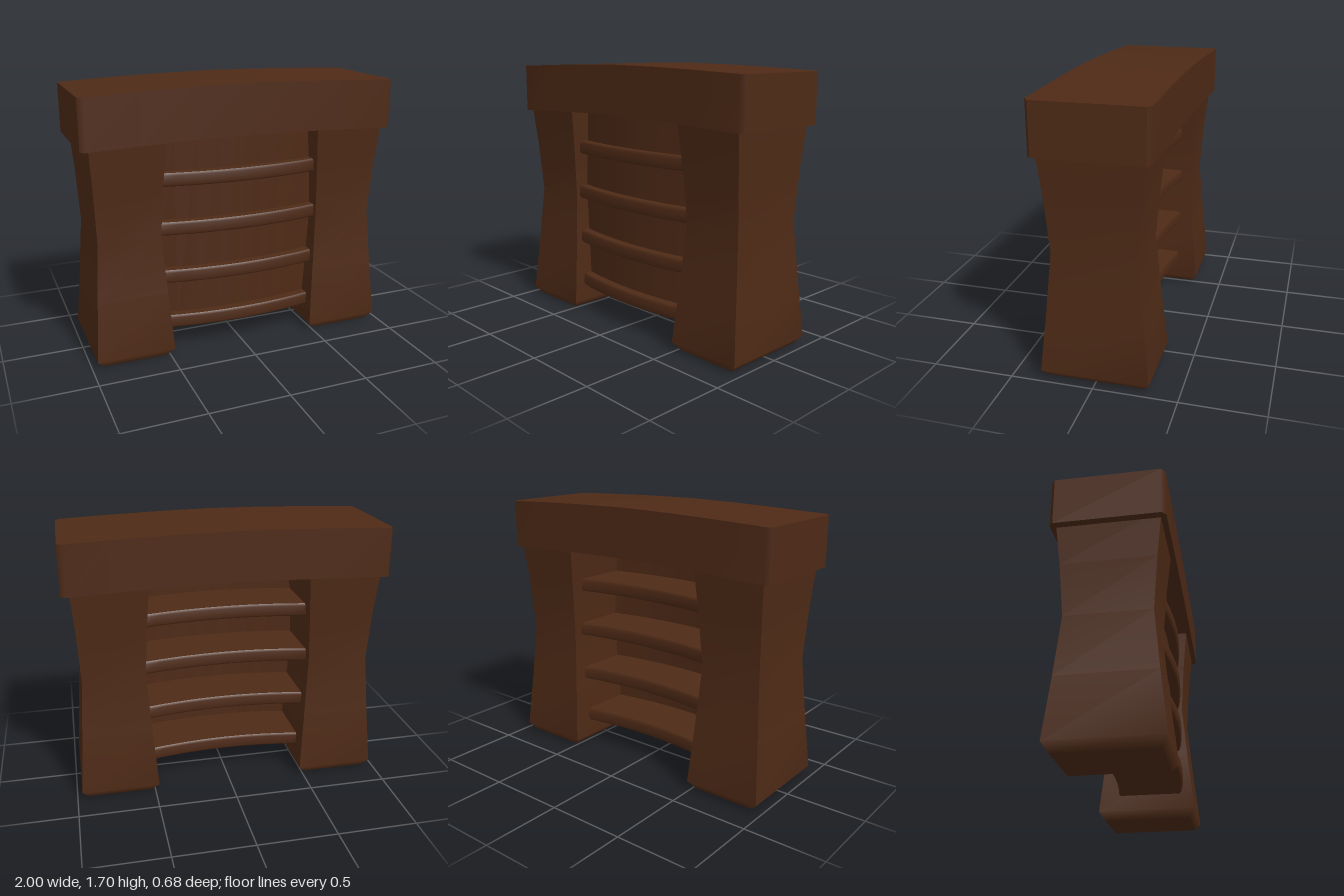
import * as THREE from 'three';

const wood = new THREE.MeshStandardMaterial({ color: 0x4e2a16, roughness: 0.9 });

// Move every vertex of a geometry by a rule, then refresh the normals
function deform(geometry, rule) {
  const pos = geometry.attributes.position;
  const v = new THREE.Vector3();
  for (let i = 0; i < pos.count; i++) {
    v.fromBufferAttribute(pos, i);
    rule(v);
    pos.setXYZ(i, v.x, v.y, v.z);
  }
  geometry.computeVertexNormals();
  return geometry;
}

function addPart(group, name, geometry) {
  const mesh = new THREE.Mesh(geometry, wood);
  mesh.name = name;
  group.add(mesh);
  return mesh;
}

// Waisted post: [height, half width, half depth] from the floor up
const LEG = [
  [0, 0.2, 0.29], [0.05, 0.247, 0.325], [0.42, 0.22, 0.287],
  [0.79, 0.195, 0.255], [1.12, 0.21, 0.28], [1.42, 0.232, 0.312],
];
function legGeometry() {
  const n = LEG.length - 1;
  return deform(new THREE.BoxGeometry(2, n, 2, 1, n, 1), (v) => {
    const [y, w, d] = LEG[Math.round(v.y + n / 2)];
    v.set(v.x * w, y, v.z * d);
  });
}

// Gently arched top whose upright corners are cut off
function topGeometry() {
  const columns = [-1, -0.97, -0.65, -0.33, 0, 0.33, 0.65, 0.97, 1];
  return deform(new THREE.BoxGeometry(8, 0.308, 0.68, 8, 1, 1), (v) => {
    v.x = columns[Math.round(v.x + 4)];
    if (Math.abs(v.x) === 1) v.z *= 0.93;
    v.y += 1.514 + 0.028 * (1 - Math.pow(Math.abs(v.x), 1.6));
  });
}

// How far boards bow toward the front at a given x
const bow = (x) => 0.06 * (1 - (x / 0.55) ** 2);

// Bowed shelf with slightly eased long edges
function shelfGeometry() {
  const rows = [-0.042, -0.028, 0.028, 0.042];
  return deform(new THREE.BoxGeometry(1.1, 3, 0.43, 8, 3, 1), (v) => {
    const row = Math.round(v.y + 1.5);
    v.y = rows[row];
    if (row === 0 || row === 3) v.z -= Math.sign(v.z) * 0.012;
    v.z += 0.012 + bow(v.x);
  });
}

export function createModel() {
  const model = new THREE.Group();
  model.name = 'bookcase';

  addPart(model, 'top', topGeometry());

  for (const side of [-1, 1]) {
    const leg = addPart(model, side > 0 ? 'leftLeg' : 'rightLeg', legGeometry());
    leg.position.x = side * 0.722;
  }

  const shelf = shelfGeometry();
  [0.197, 0.505, 0.82, 1.13].forEach((y, i) => {
    addPart(model, `shelf${i + 1}`, shelf).position.y = y;
  });

  // Thin bowed panel closing the front behind the shelf edges
  const panel = deform(new THREE.BoxGeometry(1.1, 1.23, 0.02, 8, 1, 1), (v) => {
    v.z += bow(v.x);
  });
  addPart(model, 'panel', panel).position.set(0, 0.795, 0.15);

  return model;
}
